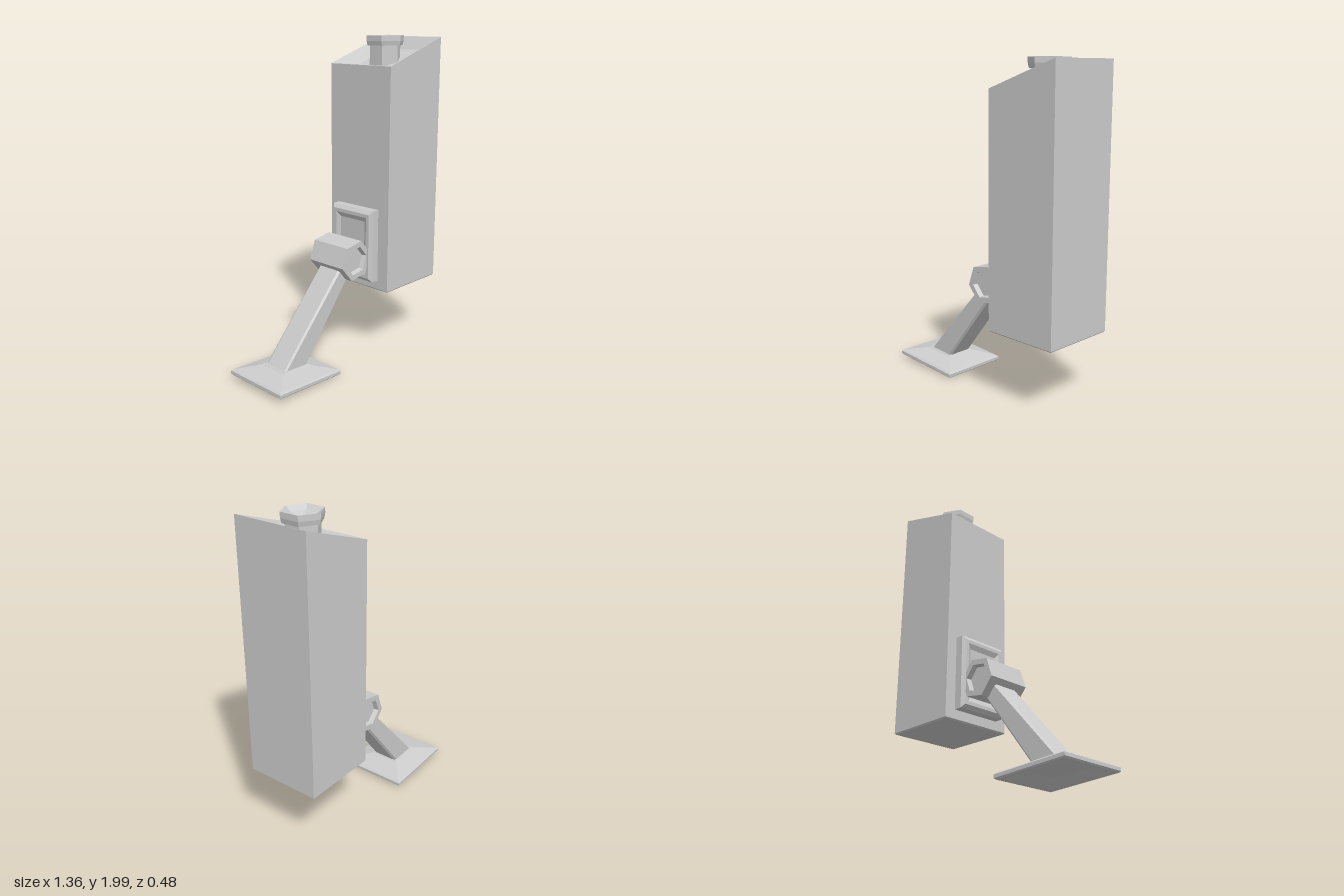
import * as THREE from 'three';

const grey = new THREE.MeshStandardMaterial({ color: 0xcccccc, flatShading: true });
const red = new THREE.MeshStandardMaterial({ color: 0xd0202a, flatShading: true });

// Cross-sections lying across the y axis, counter-clockwise seen from +y
const rect = (y, hx, hz, slope = 0) =>
  [[1, -1], [-1, -1], [-1, 1], [1, 1]].map(([sx, sz]) => [sx * hx, y + slope * sx * hx, sz * hz]);

const hex = (y, r, turn) => Array.from({ length: 6 }, (_, i) => {
  const a = turn + i * Math.PI / 3;
  return [r * Math.cos(a), y, -r * Math.sin(a)];
});

// Skins a list of cross-sections and closes both ends
function loft(rings) {
  const n = rings[0].length;
  const index = [];
  for (let i = 0; i < rings.length - 1; i++) {
    for (let j = 0; j < n; j++) {
      const k = (j + 1) % n;
      const a = i * n + j, b = i * n + k, c = b + n, d = a + n;
      index.push(a, b, c, a, c, d);
    }
  }
  const last = (rings.length - 1) * n;
  for (let j = 1; j < n - 1; j++) {
    index.push(0, j + 1, j, last, last + j, last + j + 1);
  }
  const indexed = new THREE.BufferGeometry();
  indexed.setAttribute('position', new THREE.Float32BufferAttribute(rings.flat(2), 3));
  indexed.setIndex(index);
  const geo = indexed.toNonIndexed();
  geo.computeVertexNormals();
  return geo;
}

export function createModel() {
  const model = new THREE.Group();
  const add = (name, geo, x, y, z, rotX = 0, rotZ = 0, material = grey) => {
    const mesh = new THREE.Mesh(geo, material);
    mesh.name = name;
    mesh.position.set(x, y, z);
    mesh.rotation.set(rotX, 0, rotZ);
    model.add(mesh);
  };
  const slope = 1 / 3;

  // Tall square housing with a slanted, dished top
  add('housing', loft([
    rect(0.43, 0.232, 0.232),
    rect(0.438, 0.24, 0.24),
    rect(1.91, 0.24, 0.24, slope),
    rect(1.91, 0.234, 0.234, slope),
    rect(1.85, 0.18, 0.184, slope),
    rect(1.843, 0.163, 0.167, slope),
  ]), 0.44, 0, 0);

  // Hexagonal knob with a hollow top
  const turn = Math.PI / 2;
  add('knob', loft([
    hex(1.79, 0.1, turn),
    hex(1.94, 0.1, turn),
    hex(1.94, 0.115, turn),
    hex(1.967, 0.122, turn),
    hex(2.0, 0.122, turn),
    hex(1.975, 0.085, turn),
    hex(1.96, 0.045, turn),
    hex(1.955, 0.005, turn),
  ]), 0.43, 0, 0);

  // Small indicator light on the dished floor
  add('indicatorLight', loft([hex(-0.01, 0.022, turn), hex(0.006, 0.022, turn)]),
    0.325, 1.805, -0.1, 0, Math.atan(slope), red);

  // Mounting plate on the housing side, facing -x
  add('mountingPlate', loft([
    rect(-0.01, 0.23, 0.165),
    rect(0.05, 0.23, 0.165),
    rect(0.07, 0.207, 0.147),
    rect(0.07, 0.185, 0.125),
    rect(0.055, 0.155, 0.1),
  ]), 0.2, 0.725, -0.005, 0, Math.PI / 2);

  // Hexagonal hinge barrel with recessed ends
  const tilt = 10.4 * Math.PI / 180;
  add('hinge', loft([
    hex(-0.11, 0.082, tilt),
    hex(-0.14, 0.09, tilt),
    hex(-0.14, 0.127, tilt),
    hex(0.14, 0.127, tilt),
    hex(0.14, 0.09, tilt),
    hex(0.11, 0.082, tilt),
  ]), 0.037, 0.657, -0.01, Math.PI / 2);

  // Slanted leg, widening toward the foot
  const side = new THREE.Shape([
    [0.04, 0.565], [-0.03, 0.638], [-0.535, 0.07], [-0.345, 0.07],
  ].map(([x, y]) => new THREE.Vector2(x, y)));
  const bevel = 0.012;
  add('leg', new THREE.ExtrudeGeometry(side, {
    depth: 0.17 - 2 * bevel, bevelThickness: bevel, bevelSize: bevel,
    bevelOffset: -bevel, bevelSegments: 1,
  }), 0, 0, -0.095 + bevel);

  // Tilted foot pad, hollow underneath, with a collar for the leg
  add('foot', loft([
    rect(0.03, 0.11, 0.095),
    rect(0, 0.21, 0.185),
    rect(0, 0.236, 0.211),
    rect(0.008, 0.245, 0.22),
    rect(0.027, 0.245, 0.22),
    rect(0.036, 0.234, 0.209),
    rect(0.066, 0.107, 0.1),
    rect(0.073, 0.1, 0.093),
  ]), -0.435, 0.018, -0.01, 0, -0.054);

  return model;
}
